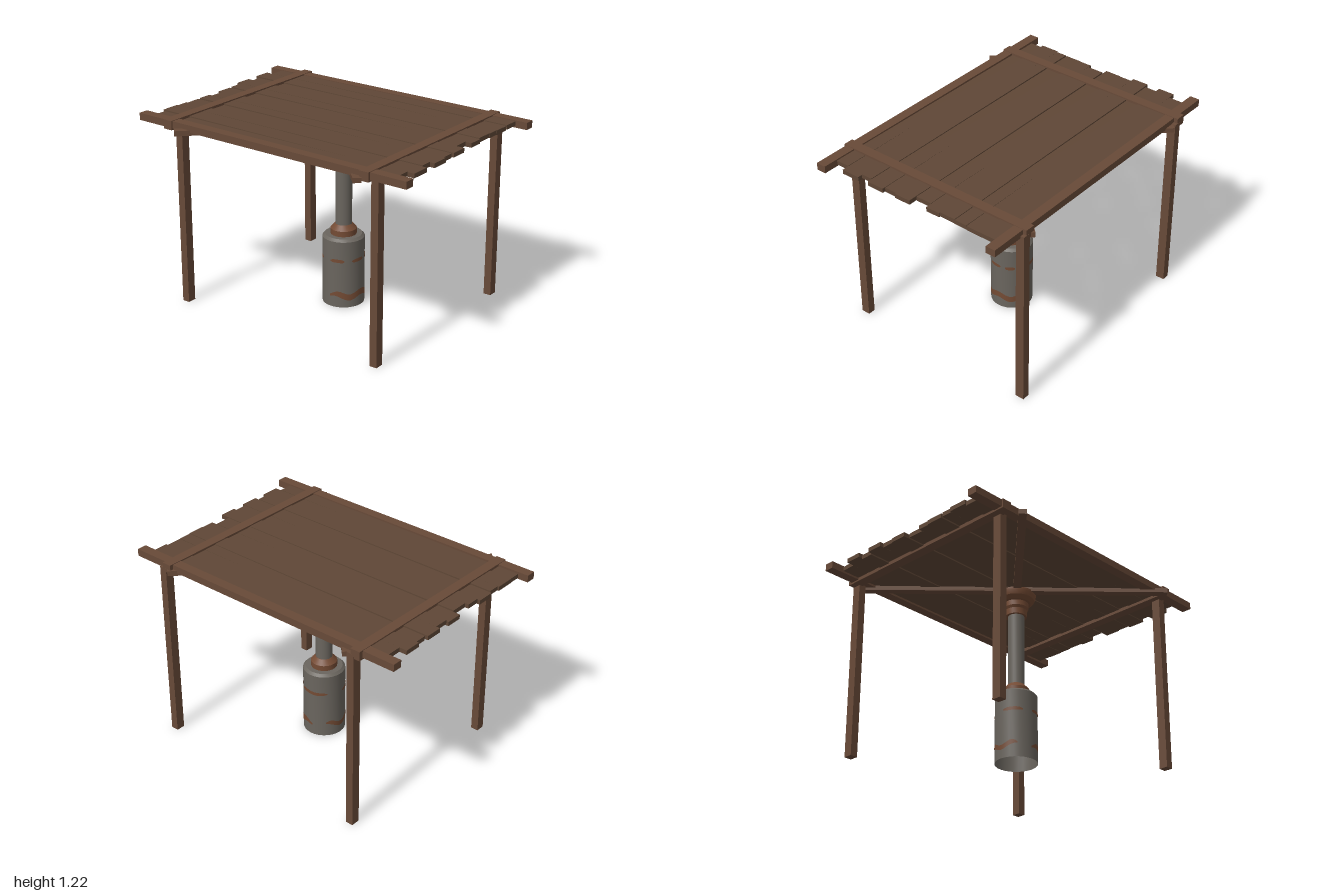
import * as THREE from 'three';
import { toCreasedNormals } from 'three/addons/utils/BufferGeometryUtils.js';

const mat = (name, color, side = THREE.FrontSide) => {
  const m = new THREE.MeshStandardMaterial({ color, side });
  m.name = name;
  return m;
};

export function createModel() {
  const model = new THREE.Group();
  model.name = 'canopyWithColumn';
  const planksMat = mat('plankWood', 0x5f4736);
  const frameMat = mat('frameWood', 0x684a38);
  const metal = mat('dullMetal', 0x6a655e, THREE.DoubleSide);
  const rust = mat('rust', 0x744b34, THREE.DoubleSide);

  const add = (name, geo, material, parent = model) => {
    const mesh = new THREE.Mesh(geo, material);
    mesh.name = name;
    parent.add(mesh);
    return mesh;
  };
  // Horizontal timber running between two [x, z] points
  const beam = (name, a, b, width, y0, y1, material, parent) => {
    const dx = b[0] - a[0], dz = b[1] - a[1];
    const mesh = add(name, new THREE.BoxGeometry(width, y1 - y0, Math.hypot(dx, dz)), material, parent);
    mesh.position.set((a[0] + b[0]) / 2, (y0 + y1) / 2, (a[1] + b[1]) / 2);
    mesh.rotation.y = Math.atan2(dx, dz);
    return mesh;
  };

  // Four corner posts
  for (const x of [-0.58, 0.677]) for (const z of [-0.72, 0.755]) {
    add('post', new THREE.BoxGeometry(0.058, 1.19, 0.05), frameMat).position.set(x, 0.595, z);
  }

  // Roof frame: side rails, cross beams and diagonal braces
  beam('leftRail', [0.645, -1], [0.65, 1], 0.064, 1.175, 1.221, frameMat);
  beam('rightRail', [-0.628, -1], [-0.628, 1], 0.064, 1.175, 1.221, frameMat);
  beam('backCrossBeam', [-0.67, -0.755], [0.705, -0.752], 0.065, 1.165, 1.224, frameMat);
  beam('frontCrossBeam', [-0.675, 0.725], [0.705, 0.725], 0.065, 1.165, 1.224, frameMat);
  beam('diagonalBrace', [-0.71, -0.665], [0.705, 0.72], 0.05, 1.157, 1.19, frameMat);
  beam('diagonalBrace', [-0.7, 0.7], [0.7, -0.69], 0.05, 1.157, 1.187, frameMat);

  // Uneven roof planks: [left edge, back end, front end]
  const planks = new THREE.Group();
  planks.name = 'roofPlanks';
  model.add(planks);
  const rows = [
    [-0.6, -0.93, 0.9], [-0.51, -0.94, 0.945], [-0.385, -0.93, 0.915], [-0.31, -0.94, 0.945],
    [-0.193, -0.925, 0.925], [-0.103, -0.9, 0.94], [0.007, -0.945, 0.88], [0.115, -0.93, 0.92],
    [0.21, -0.957, 0.915], [0.32, -0.935, 0.915], [0.405, -0.96, 0.915], [0.515, -0.91, 0.92],
  ];
  rows.forEach(([x, back, front], i) => {
    const end = i < rows.length - 1 ? rows[i + 1][0] : 0.615;
    const y = 1.182 + 0.003 * (i % 3);
    const plank = beam('plank', [(x + end) / 2, back], [(x + end) / 2 + 0.004, front], end - x - 0.001, y, y + 0.028, planksMat, planks);
    plank.rotation.x = 0.003 * ((i * 5) % 3 - 1);
  });

  // Round column standing off centre
  const column = new THREE.Group();
  column.name = 'column';
  column.position.set(0.033, 0, 0.057);
  model.add(column);
  const turned = (name, profile, material) => {
    const geo = new THREE.LatheGeometry(profile.map(([r, y]) => new THREE.Vector2(r, y)), 28);
    add(name, toCreasedNormals(geo, 0.45), material, column);
  };
  turned('columnBase', [[0.134, 0], [0.134, 0.445], [0.118, 0.461], [0.07, 0.461]], metal);
  turned('baseCollar', [[0.083, 0.46], [0.083, 0.497], [0.055, 0.528], [0.05, 0.528]], rust);
  turned('columnShaft', [[0.053, 0.5], [0.053, 1.03]], metal);
  turned('capital', [[0.05, 1.01], [0.069, 1.01], [0.071, 1.05], [0.08, 1.066], [0.08, 1.1],
    [0.095, 1.103], [0.118, 1.123], [0.128, 1.15], [0.128, 1.168], [0.05, 1.168]], rust);

  // Rust streaks: thin curved strips on the base, angles in degrees from the front
  const streak = (from, to, y, height, wave) => {
    const n = Math.max(6, Math.ceil((to - from) / 6));
    const geo = new THREE.PlaneGeometry(1, 1, n, 1);
    const p = geo.attributes.position;
    for (let i = 0; i < p.count; i++) {
      const t = p.getX(i) + 0.5;
      const a = THREE.MathUtils.degToRad(from + t * (to - from));
      const taper = 0.3 + 0.7 * Math.min(1, 6 * t, 6 * (1 - t));
      const rise = wave * Math.cos(a * 5);
      p.setXYZ(i, 0.1355 * Math.sin(a), y + rise + p.getY(i) * height * taper, 0.1355 * Math.cos(a));
    }
    geo.computeVertexNormals();
    add('rustStreak', geo, rust, column);
  };
  [[-90, -50], [-30, 8], [20, 48], [52, 140], [187, 242]].forEach(([a, b]) => streak(a, b, 0.316, 0.022, 0.002));
  streak(-92, 97, 0.08, 0.042, 0.012);
  streak(135, 227, 0.085, 0.032, 0.014);

  return model;
}
